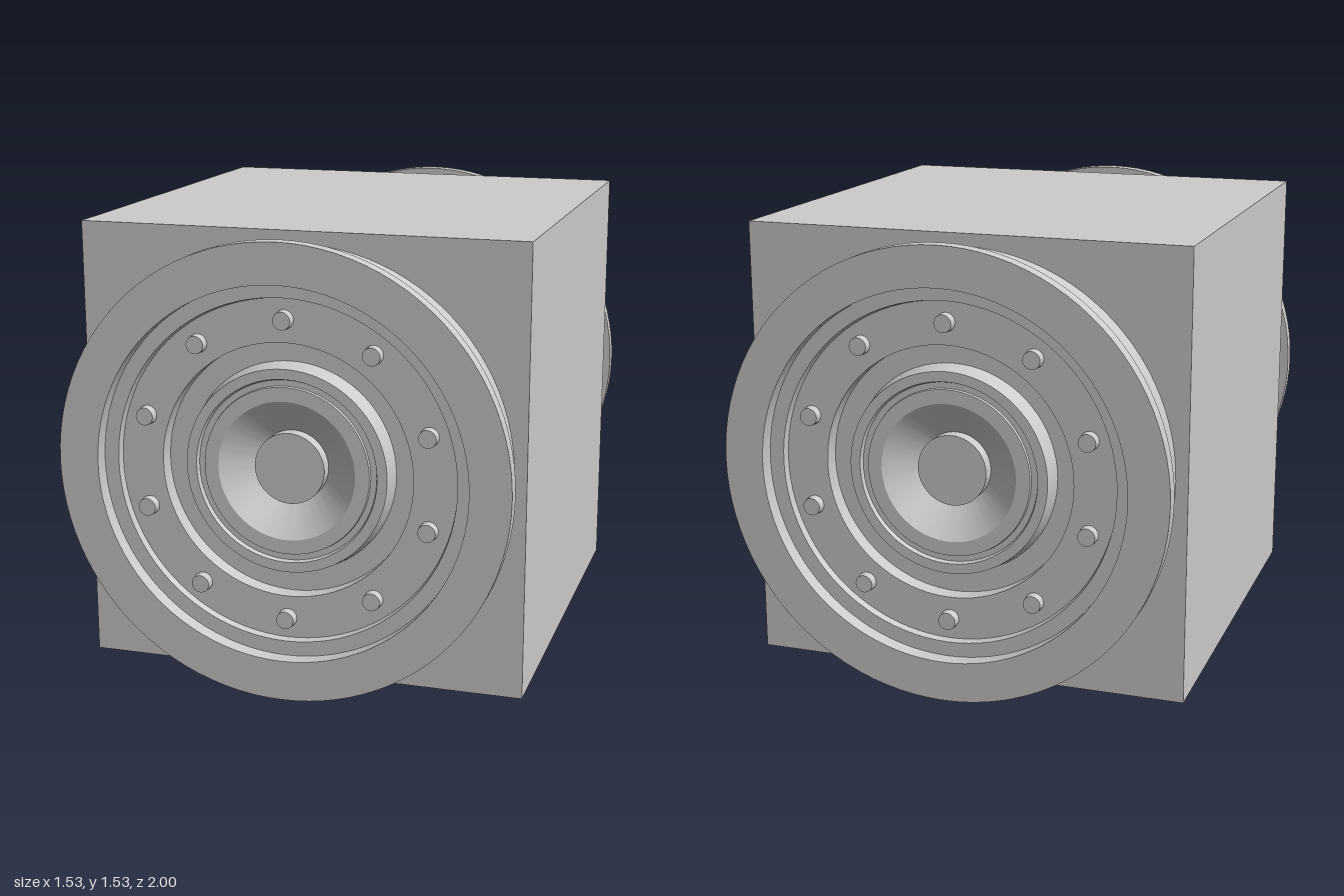
import * as THREE from 'three';
import { toCreasedNormals } from 'three/addons/utils/BufferGeometryUtils.js';

const HALF = 0.767; // half the cube's edge, also the flange radius
const material = new THREE.MeshStandardMaterial({ color: 0xcccccc });

// [radius, z] outline of a wheel, from the cube wall outward and in to the axis
const WHEEL_PROFILE = [
  [0.725, 0.75], [0.725, 0.95], [HALF, 0.95], [HALF, 1], // barrel and flange
  [0.63, 1], [0.63, 0.945], [0.58, 0.945], [0.575, 0.92], // stepped rim
  [0.43, 0.92], [0.43, 0.86], [0.357, 0.86], // bolt disc and valley
  [0.344, 0.925], [0.31, 0.925], [0.305, 0.91], [0.285, 0.91], [0.283, 0.92], // hub
  [0.235, 0.92], [0.12, 0.84], [0.12, 0.885], [0, 0.885], // dished centre and axle end
];

function createWheel(name) {
  const wheel = new THREE.Group();
  wheel.name = name;

  const points = WHEEL_PROFILE.map(([r, z]) => new THREE.Vector2(r, z));
  const lathe = new THREE.LatheGeometry(points, 96).rotateX(Math.PI / 2);
  const disc = new THREE.Mesh(toCreasedNormals(lathe, 0.2), material);
  disc.name = 'wheelDisc';
  wheel.add(disc);

  // ring of ten bolts, one at the top
  const boltGeometry = new THREE.CylinderGeometry(0.03, 0.033, 0.04, 16).rotateX(Math.PI / 2);
  for (let i = 0; i < 10; i++) {
    const a = (i / 10) * Math.PI * 2;
    const bolt = new THREE.Mesh(boltGeometry, material);
    bolt.name = 'bolt';
    bolt.position.set(0.506 * Math.sin(a), 0.506 * Math.cos(a), 0.93);
    wheel.add(bolt);
  }
  wheel.position.y = HALF;
  return wheel;
}

export function createModel() {
  const model = new THREE.Group();
  model.name = 'wheeledCube';

  // central cube
  const body = new THREE.Mesh(new THREE.BoxGeometry(2 * HALF, 2 * HALF, 2 * HALF), material);
  body.name = 'body';
  body.position.y = HALF;
  model.add(body);

  // matching wheels on front and back
  const backWheel = createWheel('backWheel');
  backWheel.rotation.y = Math.PI;
  model.add(createWheel('frontWheel'), backWheel);
  return model;
}
